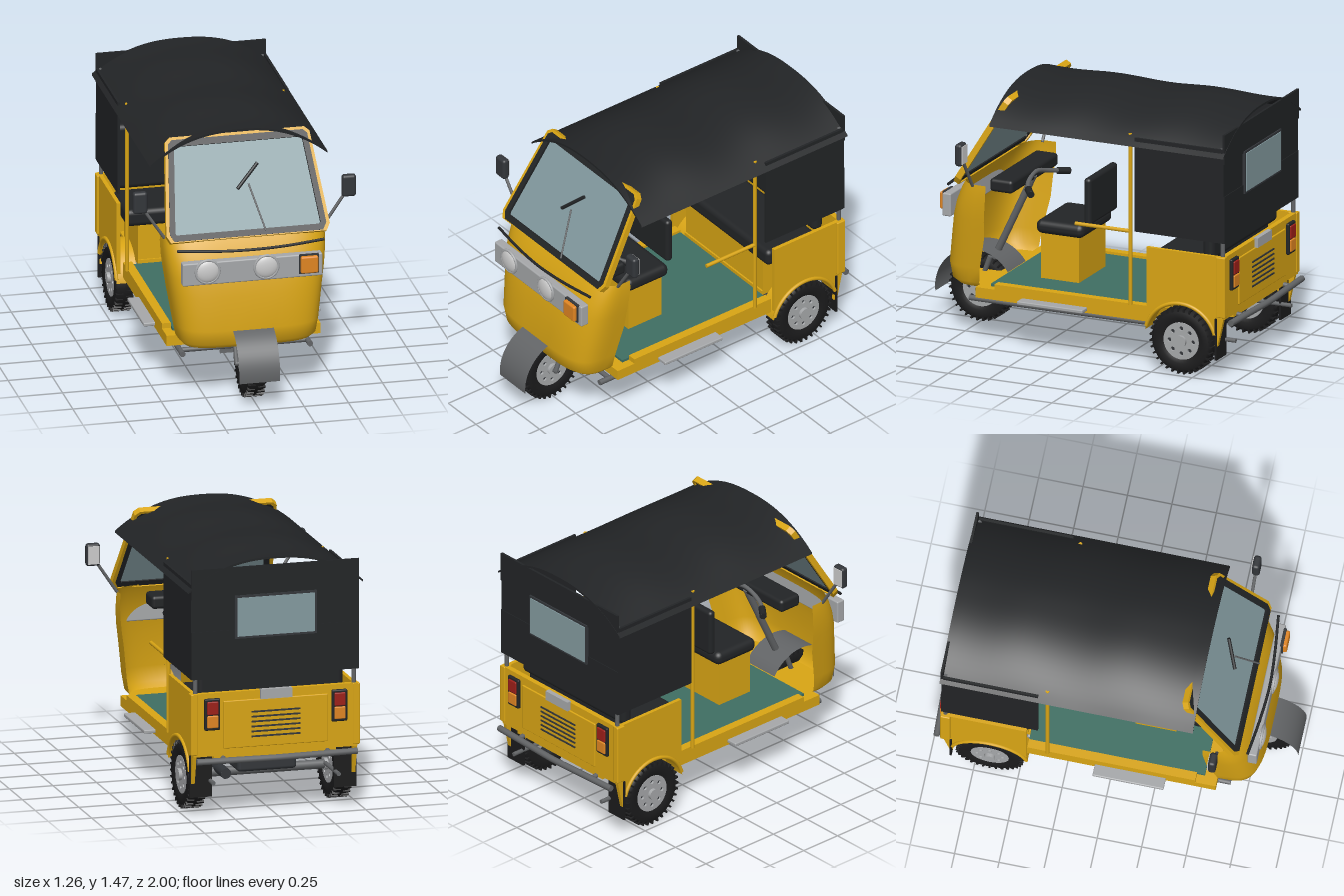
import * as THREE from 'three';
import { mergeGeometries } from 'three/addons/utils/BufferGeometryUtils.js';
import { RoundedBoxGeometry } from 'three/addons/geometries/RoundedBoxGeometry.js';

const paint = (color) => new THREE.MeshStandardMaterial({ color, side: THREE.DoubleSide });
const yellow = paint(0xd9a514), black = paint(0x222426), rubber = paint(0x1b1b1c), steel = paint(0x626466),
  silver = paint(0xa6a8aa), glass = paint(0x839a9f), teal = paint(0x3f6f63), orange = paint(0xe08522),
  red = paint(0x9c1f18), lens = paint(0xd4d6d2), dark = paint(0x33363a);
const PI = Math.PI;

export function createModel() {
  const root = new THREE.Group();
  const add = (name, geo, mat, x = 0, y = 0, z = 0, parent = root) => {
    const m = new THREE.Mesh(geo, mat);
    m.name = name;
    m.position.set(x, y, z);
    parent.add(m);
    return m;
  };
  // box given by its extents on each axis; r > 0 rounds the edges
  const box = (name, mat, [x0, x1], [y0, y1], [z0, z1], r = 0) => {
    const s = [x1 - x0, y1 - y0, z1 - z0];
    return add(name, r ? new RoundedBoxGeometry(...s, 3, r) : new THREE.BoxGeometry(...s), mat,
      (x0 + x1) / 2, (y0 + y1) / 2, (z0 + z1) / 2);
  };
  const tube = (name, mat, r, ...pts) => {
    const v = pts.map((p) => new THREE.Vector3(...p));
    const path = v.length === 2 ? new THREE.LineCurve3(...v) : new THREE.CatmullRomCurve3(v);
    const g = new THREE.TubeGeometry(path, v.length === 2 ? 1 : 24, r, 10);
    const caps = [0, 1].map((t) => {
      const c = new THREE.CircleGeometry(r, 10);
      c.lookAt(path.getTangent(t).multiplyScalar(t ? 1 : -1));
      return c.translate(...path.getPoint(t).toArray());
    });
    return add(name, mergeGeometries([g, ...caps]), mat);
  };
  // surface through rows of points
  const loft = (rows) => {
    const n = rows[0].length, index = [];
    for (let i = 0; i < rows.length - 1; i++) for (let j = 0; j < n - 1; j++) {
      const a = i * n + j, b = a + n;
      index.push(a, a + 1, b, a + 1, b + 1, b);
    }
    const g = new THREE.BufferGeometry();
    g.setAttribute('position', new THREE.Float32BufferAttribute(rows.flat(2), 3));
    g.setIndex(index);
    g.computeVertexNormals();
    return g;
  };
  const shapeOf = (pts) => new THREE.Shape(pts.map((p) => new THREE.Vector2(...p)));
  const flat = (shape, depth) => new THREE.ExtrudeGeometry(shape, { depth, bevelEnabled: false, curveSegments: 20 });
  const arch = (r, w, a) => new THREE.CylinderGeometry(r, r, w, 32, 1, true, -a, PI + 2 * a).rotateZ(PI / 2);

  // Front cab shell: height, half width, back edge, front
  const levels = [[0.315, 0.36, 0.6, 0.79], [0.345, 0.387, 0.6, 0.825], [0.43, 0.402, 0.59, 0.84], [0.62, 0.43, 0.55, 0.815],
    [0.72, 0.445, 0.545, 0.798], [0.8, 0.454, 0.537, 0.775], [0.88, 0.458, 0.53, 0.74], [0.93, 0.455, 0.53, 0.71]];
  const ring = ([y, w, zb, zf]) => Array.from({ length: 41 }, (_, i) => {
    const t = PI * i / 40, c = Math.cos(t), s = Math.max(0, Math.sin(t));
    return [w * Math.sign(c) * Math.abs(c) ** 0.5, y, zb + (zf - zb) * s ** 0.5];
  });
  add('cabShell', loft(levels.map(ring)), yellow);
  add('cabBottom', loft([ring(levels[0]), ring([0.315, 0.36, 0.6, 0.6])]), yellow);
  box('dashboard', black, [-0.3, 0.3], [0.85, 0.925], [0.44, 0.58], 0.02);

  // Windscreen, drawn flat and leaned back
  const screen = new THREE.Group();
  screen.name = 'windscreen';
  screen.position.set(0, 0.93, 0.715);
  screen.rotation.x = -0.533;
  root.add(screen);
  const outline = (half) => {
    const right = half.map(([x, y]) => [x, (y - 0.93) * 1.161]);
    return [...right, ...right.map(([x, y]) => [-x, y]).reverse()];
  };
  const o1 = outline([[0.44, 0.925], [0.462, 0.96], [0.408, 1.41], [0.38, 1.432]]);
  const o2 = outline([[0.42, 0.93], [0.442, 0.965], [0.393, 1.4], [0.37, 1.418]]);
  const o3 = outline([[0.405, 0.96], [0.41, 0.97], [0.363, 1.375], [0.355, 1.385]]);
  const holed = (a, b) => { const s = shapeOf(a); s.holes.push(shapeOf(b)); return s; };
  add('screenFrame', flat(holed(o1, o2), 0.035), yellow, 0, 0, -0.02, screen);
  add('screenSeal', flat(holed(o2, o3), 0.03), black, 0, 0, -0.012, screen);
  add('screenGlass', flat(shapeOf(o3), 0.008), glass, 0, 0, -0.004, screen);
  tube('wiperArm', steel, 0.005, [0.095, 0.965, 0.735], [0.025, 1.2, 0.61]);
  tube('wiperBlade', black, 0.01, [-0.04, 1.18, 0.625], [0.085, 1.3, 0.565]);

  // Front trim and lamps
  tube('frontTrim', black, 0.008, [-0.415, 0.9, 0.775], [-0.2, 0.89, 0.8], [0, 0.888, 0.812], [0.2, 0.89, 0.8], [0.415, 0.9, 0.775]);
  box('lampPanel', silver, [-0.395, 0.395], [0.705, 0.837], [0.77, 0.822], 0.008);
  for (const x of [-0.255, 0.077]) {
    add('headlampRing', new THREE.TorusGeometry(0.066, 0.008, 10, 32), silver, x, 0.785, 0.825);
    add('headlamp', new THREE.SphereGeometry(0.066, 28, 14), lens, x, 0.785, 0.822).scale.z = 0.35;
  }
  box('indicatorBase', dark, [0.262, 0.372], [0.727, 0.838], [0.815, 0.832]);
  box('indicator', orange, [0.268, 0.366], [0.733, 0.832], [0.82, 0.852], 0.01);

  // Floor and frame
  box('floorPan', yellow, [-0.435, 0.435], [0.275, 0.335], [-0.46, 0.6]);
  for (const s of [-1, 1]) box('sill', yellow, [s * 0.41 - 0.025, s * 0.41 + 0.025], [0.335, 0.365], [-0.46, 0.485]);
  box('floorMat', teal, [-0.385, 0.385], [0.335, 0.35], [-0.46, 0.53]);
  box('rearFloor', yellow, [-0.35, 0.35], [0.34, 0.37], [-0.93, -0.46]);

  // Driver seat and handlebar
  box('driverSeatBase', yellow, [-0.17, 0.17], [0.35, 0.615], [0.095, 0.325]);
  box('driverCushion', black, [-0.2, 0.2], [0.61, 0.69], [0.06, 0.35], 0.035);
  box('driverBackrest', black, [-0.18, 0.18], [0.69, 0.96], [0.02, 0.065], 0.02);
  tube('steeringColumn', steel, 0.02, [0, 0.35, 0.7], [0, 0.88, 0.45]);
  tube('handlebar', steel, 0.013, [-0.24, 0.85, 0.36], [-0.14, 0.87, 0.42], [0, 0.9, 0.44], [0.14, 0.87, 0.42], [0.24, 0.85, 0.36]);
  for (const s of [-1, 1]) tube('grip', black, 0.02, [s * 0.19, 0.858, 0.395], [s * 0.25, 0.847, 0.35]);

  // Passenger bench
  box('benchBase', yellow, [-0.35, 0.35], [0.35, 0.57], [-0.8, -0.47]);
  box('benchCushion', black, [-0.42, 0.42], [0.57, 0.67], [-0.79, -0.45], 0.03);
  box('benchBackrest', black, [-0.42, 0.42], [0.67, 1.05], [-0.84, -0.77], 0.03);

  // Curved, gently sagging roof
  const roofRows = (drop) => Array.from({ length: 29 }, (_, i) => Array.from({ length: 33 }, (_, j) => {
    const u = j / 16 - 1, z = 0.485 - 1.425 * i / 28;
    return [0.5 * u, 1.477 - drop - 0.172 * Math.abs(u) ** 2.4 + 0.008 * (1 - u * u) * Math.cos((z - 0.05) * 10.5), z];
  }));
  const top = roofRows(0), under = roofRows(0.012);
  add('roof', loft(top), black);
  add('roofLining', loft(under), black);
  for (const k of [0, 28]) add('roofHem', loft([top[k], under[k]]), black);

  // Rear canvas with window
  for (const [y0, y1, z] of [[1.255, 1.425, -0.938], [1.07, 1.255, -0.932], [0.8, 1.07, -0.936]])
    box('rearCanvas', black, [-0.48, 0.48], [y0, y1], [z, z + 0.014]);
  box('rearWindowFrame', dark, [-0.235, 0.235], [1.02, 1.265], [-0.946, -0.93]);
  box('rearWindow', glass, [-0.222, 0.222], [1.033, 1.252], [-0.951, -0.92]);

  // Rear body face
  box('rearFace', yellow, [-0.47, 0.47], [0.36, 0.718], [-0.935, -0.905]);
  box('engineHatch', yellow, [-0.3, 0.3], [0.4, 0.67], [-0.943, -0.93], 0.005);
  for (let i = 0; i < 6; i++) box('louver', dark, [-0.14, 0.14], [0.455 + i * 0.028, 0.464 + i * 0.028], [-0.948, -0.94]);
  box('plateHolder', silver, [-0.09, 0.09], [0.67, 0.725], [-0.957, -0.93]);
  tube('rearBumper', steel, 0.018, [-0.46, 0.34, -0.965], [-0.2, 0.34, -0.975], [0, 0.34, -0.982], [0.2, 0.34, -0.975], [0.46, 0.34, -0.965]);

  // Quarter panel outline with wheel cut-out, in (z, y)
  const quarter = shapeOf([[-0.457, 0.717], [-0.94, 0.717], [-0.94, 0.42], [-0.89, 0.2], [-0.87, 0.2]]);
  quarter.absarc(-0.665, 0.2, 0.218, PI - 0.2, 0.45, true);
  quarter.lineTo(-0.457, 0.3);

  // Parts found on both sides
  for (const s of [-1, 1]) {
    const span = (a, b) => (s > 0 ? [a, b] : [-b, -a]);
    add('quarterPanel', flat(quarter, 0.022).rotateY(-PI / 2), yellow, s > 0 ? 0.472 : -0.45);
    add('wheelArch', arch(0.218, 0.12, -0.2), yellow, s * 0.415, 0.2, -0.665);
    add('archLip', new THREE.TorusGeometry(0.218, 0.011, 8, 32, PI - 0.6).rotateZ(0.3).rotateY(PI / 2), yellow, s * 0.474, 0.2, -0.665);
    box('rearColumn', yellow, span(0.445, 0.485), [0.37, 0.718], [-0.94, -0.885], 0.006);
    box('sideCurtain', black, span(0.468, 0.482), [0.8, 1.34], [-0.925, -0.39]);
    tube('doorPost', yellow, 0.011, [s * 0.44, 0.36, -0.345], [s * 0.44, 1.35, -0.345]);
    tube('rearPost', steel, 0.012, [s * 0.455, 0.7, -0.915], [s * 0.455, 1.34, -0.915]);
    box('stepPlate', silver, span(0.43, 0.5), [0.287, 0.308], [-0.08, 0.32], 0.006);
    tube('chassisRail', steel, 0.016, [s * 0.36, 0.245, 0.67], [s * 0.36, 0.245, -0.52]);
    box('mudFlap', rubber, span(0.35, 0.48), [0.12, 0.36], [-0.888, -0.876]);
    tube('bumperBracket', steel, 0.014, [s * 0.3, 0.35, -0.9], [s * 0.3, 0.34, -0.972]);
    tube('rearTowBar', steel, 0.012, [s * 0.36, 0.21, -0.67], [s * 0.36, 0.21, -0.95]);
    // Tail lamps
    box('tailLampHousing', black, span(0.32, 0.41), [0.51, 0.69], [-0.952, -0.93], 0.008);
    box('brakeLamp', red, span(0.333, 0.397), [0.6, 0.675], [-0.96, -0.94], 0.006);
    box('rearIndicator', orange, span(0.333, 0.397), [0.525, 0.595], [-0.96, -0.94], 0.006);
    // Door mirrors
    tube('mirrorArm', steel, 0.009, [s * 0.45, 0.92, 0.61], [s * 0.57, 1.1, 0.615]);
    box('mirror', dark, span(0.55, 0.63), [1.08, 1.207], [0.595, 0.638], 0.016);
    box('mirrorGlass', lens, span(0.558, 0.622), [1.092, 1.195], [0.592, 0.6]);
    tube('frontFork', steel, 0.014, [s * 0.075, 0.2, 0.755], [s * 0.075, 0.4, 0.68]);
  }
  tube('armrest', yellow, 0.011, [0.44, 0.785, -0.345], [0.44, 0.785, -0.01]);

  // Running gear
  tube('crossTube', steel, 0.014, [-0.37, 0.245, 0.6], [0.37, 0.245, 0.6]);
  tube('rearAxle', steel, 0.026, [-0.42, 0.2, -0.665], [0.42, 0.2, -0.665]);
  tube('frontAxle', steel, 0.014, [-0.085, 0.2, 0.755], [0.085, 0.2, 0.755]);
  box('engine', dark, [-0.17, 0.17], [0.215, 0.34], [-0.78, -0.55], 0.02);
  tube('muffler', dark, 0.03, [0.25, 0.225, -0.5], [0.25, 0.225, -0.82]);
  add('frontFender', arch(0.242, 0.23, 0.12), steel, 0, 0.2, 0.755);

  // Wheels with knobbly tyres and pierced rims
  const profile = [[0.105, -0.04], [0.13, -0.05], [0.165, -0.05], [0.18, -0.038], [0.184, 0],
    [0.18, 0.038], [0.165, 0.05], [0.13, 0.05], [0.105, 0.04]].map((p) => new THREE.Vector2(...p));
  const tyre = new THREE.LatheGeometry(profile, 40).rotateZ(PI / 2);
  const knobs = [];
  for (let i = 0; i < 64; i++) {
    const k = new THREE.BoxGeometry(0.042, 0.022, 0.01);
    knobs.push(k.translate((i % 2 ? 1 : -1) * 0.029, 0.179, 0).rotateX(i * PI / 32));
  }
  const tread = mergeGeometries(knobs);
  const disc = new THREE.Shape().absarc(0, 0, 0.107, 0, 2 * PI);
  for (let i = 0; i < 8; i++)
    disc.holes.push(new THREE.Path().absarc(0.072 * Math.cos(i * PI / 4), 0.072 * Math.sin(i * PI / 4), 0.012, 0, 2 * PI));
  const rim = flat(disc, 0.012).rotateY(PI / 2);
  const hub = new THREE.CylinderGeometry(0.03, 0.034, 0.126, 20).rotateZ(PI / 2);
  const backing = new THREE.CylinderGeometry(0.1, 0.1, 0.05, 28).rotateZ(PI / 2);
  for (const [name, x, z] of [['frontWheel', 0, 0.755], ['leftRearWheel', 0.42, -0.665], ['rightRearWheel', -0.42, -0.665]]) {
    const w = new THREE.Group();
    w.name = name;
    w.position.set(x, 0.2, z);
    root.add(w);
    add('tyre', tyre, rubber, 0, 0, 0, w);
    add('tread', tread, rubber, 0, 0, 0, w);
    add('rimOuter', rim, silver, 0.032, 0, 0, w);
    add('rimInner', rim, silver, -0.044, 0, 0, w);
    add('rimBacking', backing, dark, 0, 0, 0, w);
    add('hub', hub, silver, 0, 0, 0, w);
  }
  return root;
}
